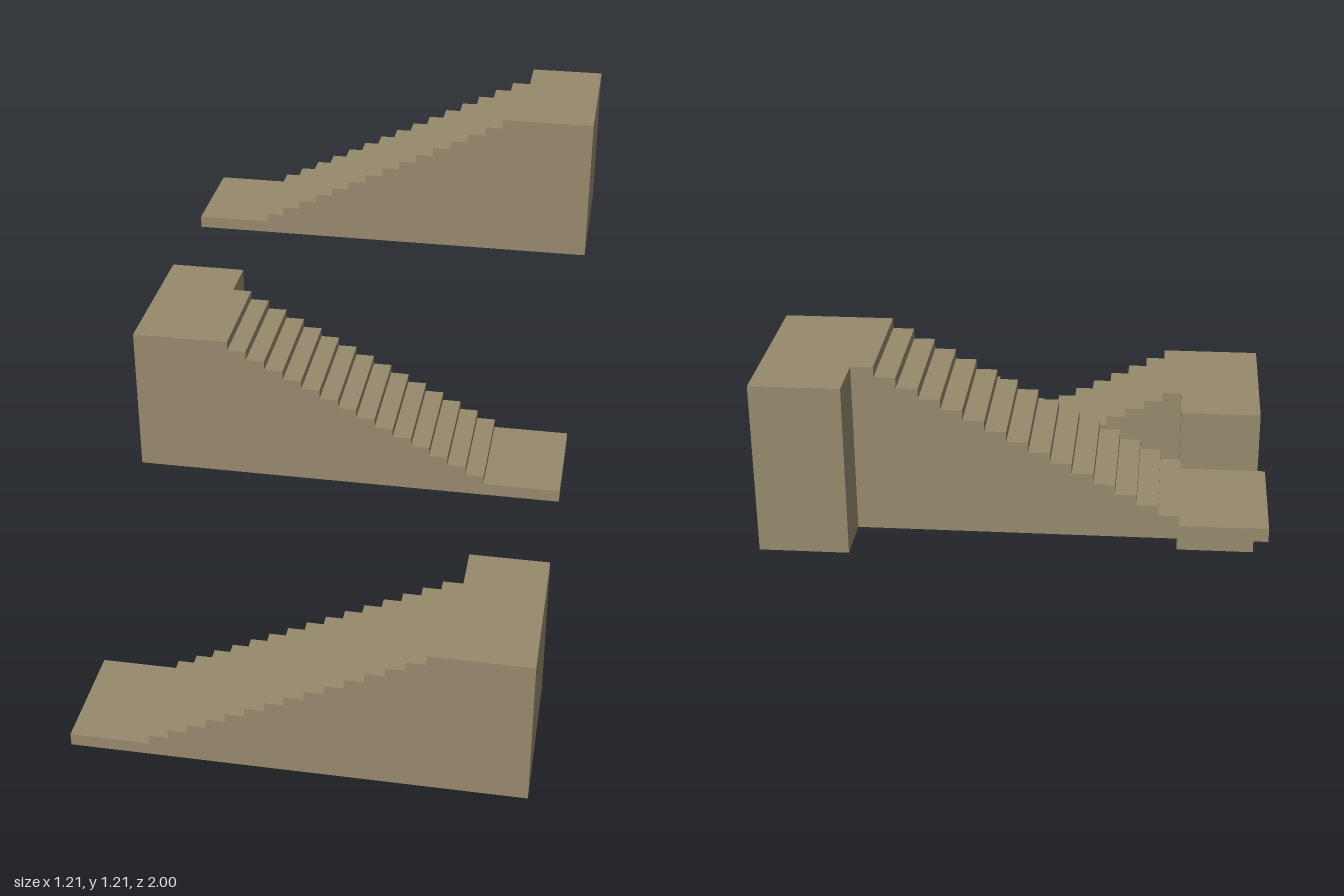
import * as THREE from 'three';

const HALF = 0.605;      // half length of a flight
const START = -0.39;     // first riser
const LANDING = 0.39;    // inner edge of the upper landing
const STEPS = 15, TREAD = 0.0519, RISE = 0.026, BASE = 0.035;
const WIDTH = 0.31, TURN = 0.13;
const TOP = BASE + STEPS * RISE;

const stone = new THREE.MeshStandardMaterial({ color: 0x96896c });
stone.name = 'stone';

// One flight climbing towards +x (dir = 1) or -x (dir = -1); its middle is at z = 0
function createFlight(dir) {
  const flight = new THREE.Group();

  // Solid stepped body with a flat lower platform
  const profile = [[-HALF, 0], [HALF, 0], [HALF, TOP]];
  for (let i = STEPS - 1; i >= 0; i--) {
    const x = START + i * TREAD;
    profile.push([x, BASE + (i + 1) * RISE], [x, BASE + i * RISE]);
  }
  profile.push([-HALF, BASE]);
  const shape = new THREE.Shape(profile.map(([x, y]) => new THREE.Vector2(x * dir, y)));
  const steps = new THREE.Mesh(
    new THREE.ExtrudeGeometry(shape, { depth: WIDTH, bevelEnabled: false }), stone);
  steps.name = 'steps';
  steps.position.z = (TURN - WIDTH) / 2;

  // Upper landing widened backwards, towards the next flight
  const landing = new THREE.Mesh(new THREE.BoxGeometry(HALF - LANDING, TOP, TURN), stone);
  landing.name = 'landing';
  landing.position.set(dir * (HALF + LANDING) / 2, TOP / 2, -WIDTH / 2);

  flight.add(steps, landing);
  return flight;
}

export function createModel() {
  const model = new THREE.Group();
  model.name = 'staircase';
  // Three flights, each higher, further back and turned the other way
  ['lowerFlight', 'middleFlight', 'upperFlight'].forEach((name, i) => {
    const flight = createFlight(i % 2 ? -1 : 1);
    flight.name = name;
    flight.position.set(0, i * STEPS * RISE, 0.78 * (1 - i));
    model.add(flight);
  });
  return model;
}
